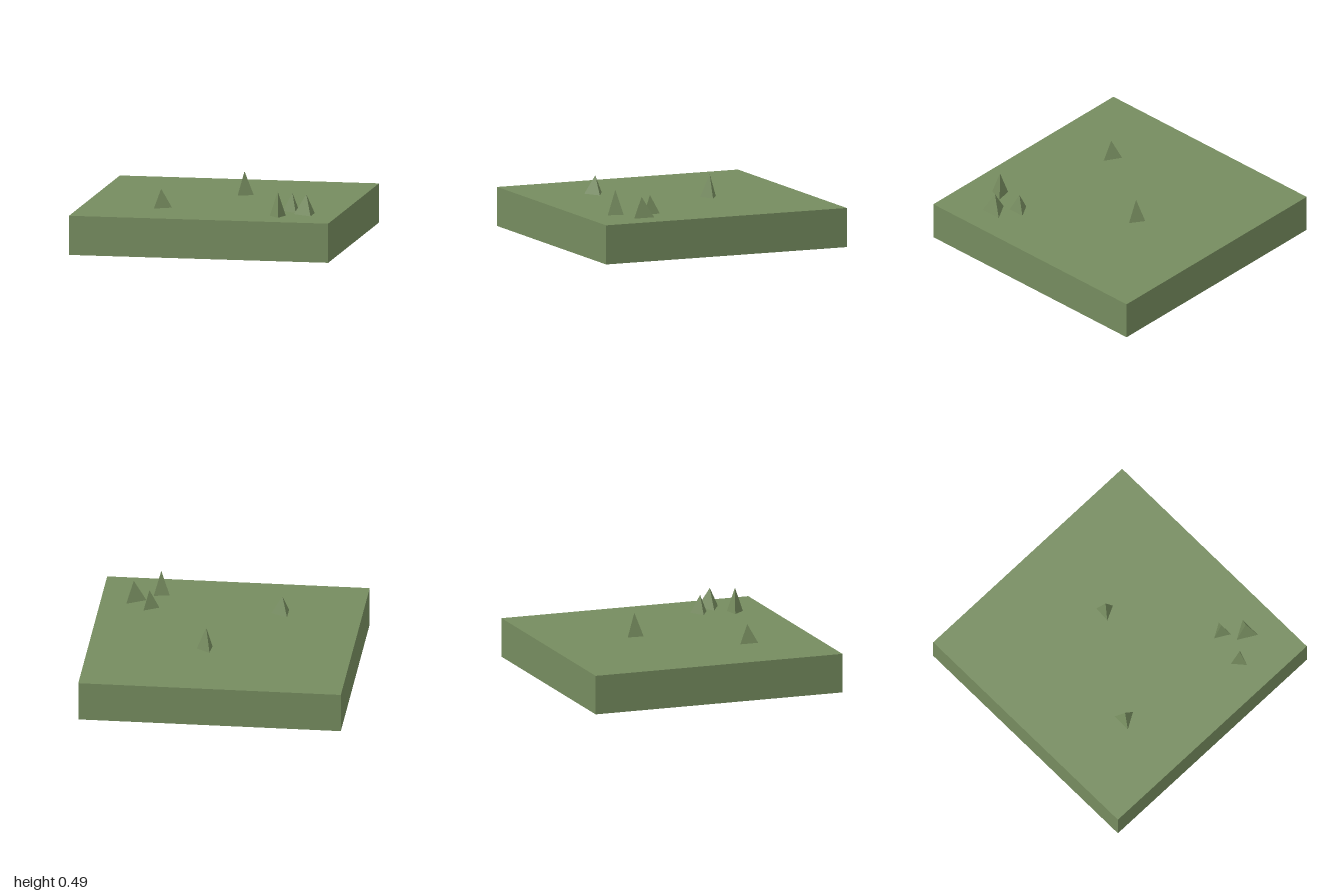
import * as THREE from 'three';

const HEIGHT = 0.3; // top of the ground tile

export function createModel() {
  const model = new THREE.Group();
  const grass = new THREE.MeshStandardMaterial({ color: 0x768c5f, side: THREE.DoubleSide });
  grass.name = 'grassGreen';

  const add = (name, geometry, parent = model) => {
    const mesh = new THREE.Mesh(geometry, grass);
    mesh.name = name;
    parent.add(mesh);
    return mesh;
  };

  // Ground tile: a top sheet and four side walls, open underneath
  const tile = new THREE.Group();
  tile.name = 'groundTile';
  model.add(tile);
  add('groundTop', new THREE.PlaneGeometry(2, 2).rotateX(-Math.PI / 2).translate(0, HEIGHT, 0), tile);
  ['frontWall', 'leftWall', 'backWall', 'rightWall'].forEach((name, i) => {
    const wall = new THREE.PlaneGeometry(2, HEIGHT).translate(0, HEIGHT / 2, 1);
    add(name, wall.rotateY(i * Math.PI / 2), tile);
  });

  // Grass spikes: three-sided pyramids [x, z, radius, height, turn]
  const spikes = [
    [0.106, -0.265, 0.073, 0.18, 1.5],
    [-0.395, 0.459, 0.084, 0.142, Math.PI / 2],
    [0.619, 0.464, 0.076, 0.142, -Math.PI / 2],
    [0.752, 0.593, 0.096, 0.155, -Math.PI / 2],
    [0.557, 0.723, 0.07, 0.19, 0.19],
  ];
  spikes.forEach(([x, z, radius, height, turn], i) => {
    const cone = new THREE.ConeGeometry(radius, height, 3, 1, true).toNonIndexed();
    cone.computeVertexNormals(); // flat faces
    const spike = add(`grassSpike${i + 1}`, cone);
    spike.position.set(x, HEIGHT + height / 2, z);
    spike.rotation.y = turn;
  });

  return model;
}
